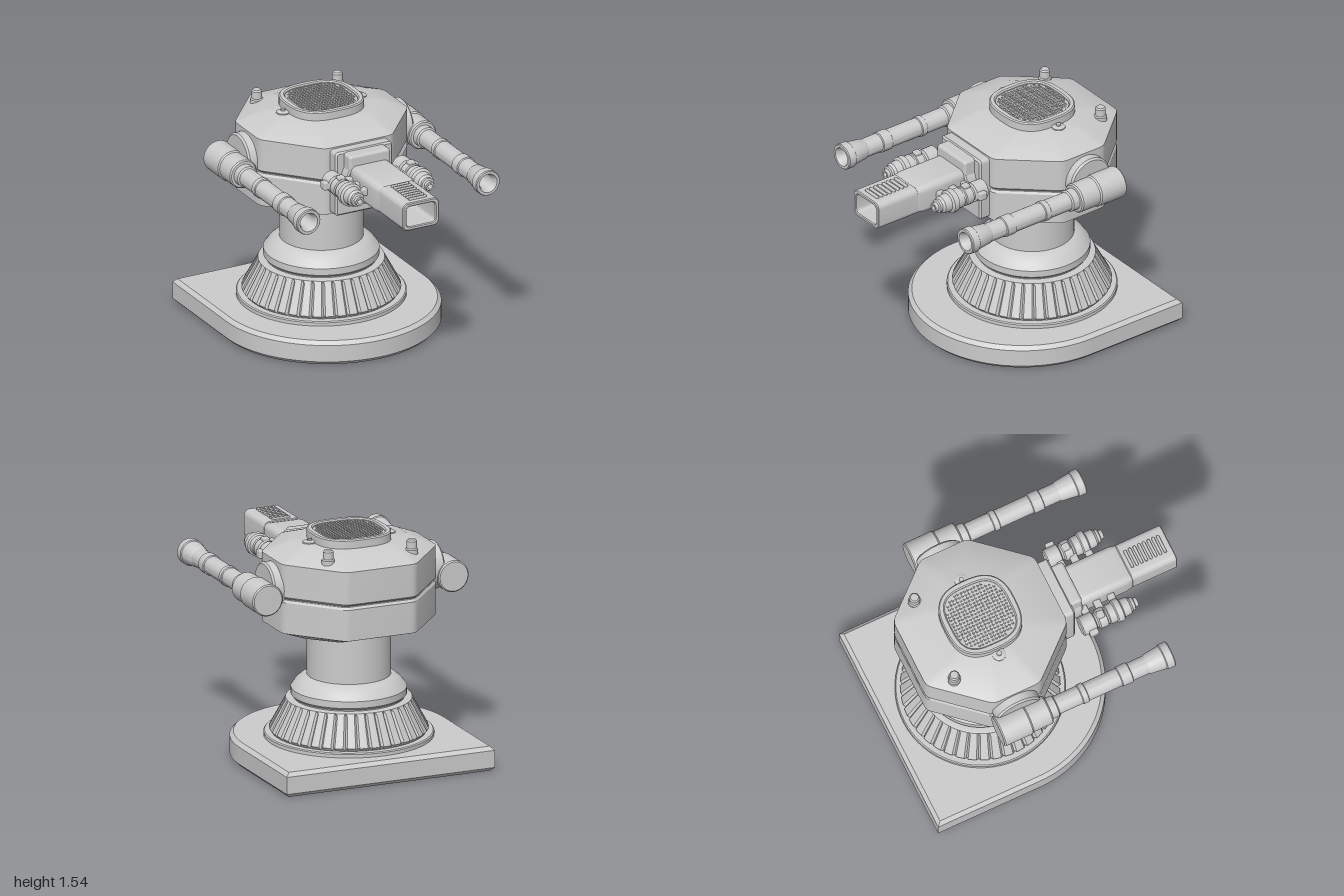
import * as THREE from 'three';
import { mergeGeometries, toCreasedNormals } from 'three/addons/utils/BufferGeometryUtils.js';
import { RoundedBoxGeometry } from 'three/addons/geometries/RoundedBoxGeometry.js';

const AXIS = -0.345; // z of the turret's turning axis
const material = new THREE.MeshStandardMaterial({ color: 0xcccccc });

function add(parent, name, geometry, x = 0, y = 0, z = 0) {
  const mesh = new THREE.Mesh(geometry, material);
  mesh.name = name;
  mesh.position.set(x, y, z);
  parent.add(mesh);
  return mesh;
}

// Turned part from [radius, height] pairs, listed bottom to top
function turned(profile, segments = 48) {
  const points = profile.map(([r, h]) => new THREE.Vector2(r, h));
  return toCreasedNormals(new THREE.LatheGeometry(points, segments), 0.5);
}
// The same, lying along +z
const turnedZ = (profile, segments) => turned(profile, segments).rotateX(Math.PI / 2);

function extruded(shape, depth, bevel = 0, thickness = bevel) {
  const geometry = new THREE.ExtrudeGeometry(shape, {
    depth: depth - 2 * thickness, bevelEnabled: bevel > 0, bevelSize: bevel,
    bevelOffset: -bevel, bevelThickness: thickness, bevelSegments: 1, curveSegments: 32,
  }).translate(0, 0, thickness);
  return toCreasedNormals(geometry, 0.4);
}

// Rectangle with rounded corners, half sizes w and h
function roundRect(w, h, r, Type = THREE.Shape) {
  const s = new Type();
  s.absarc(w - r, h - r, r, 0, Math.PI / 2);
  s.absarc(r - w, h - r, r, Math.PI / 2, Math.PI);
  s.absarc(r - w, r - h, r, Math.PI, Math.PI * 1.5);
  s.absarc(w - r, r - h, r, Math.PI * 1.5, Math.PI * 2);
  s.closePath();
  return s;
}

// Squircle outline between a circle and a square
function squircle(w, h, power) {
  return Array.from({ length: 64 }, (_, i) => {
    const a = (i / 64) * Math.PI * 2, c = Math.cos(a), s = Math.sin(a);
    return new THREE.Vector2(w * Math.sign(c) * Math.abs(c) ** (2 / power), h * Math.sign(s) * Math.abs(s) ** (2 / power));
  });
}

// Octagon ring with softened corners: half sizes hx, hz; flat half lengths fx (front), fz (side)
function octagon(y, hx, hz, fx, fz) {
  const c = [[hx, -fz], [hx, fz], [fx, hz], [-fx, hz], [-hx, fz], [-hx, -fz], [-fx, -hz], [fx, -hz]]
    .map(([x, z]) => new THREE.Vector3(x, y, z));
  return c.flatMap((p, i) => {
    const before = c[(i + 7) % 8].clone().sub(p).setLength(0.035).add(p);
    const after = c[(i + 1) % 8].clone().sub(p).setLength(0.035).add(p);
    return new THREE.QuadraticBezierCurve3(before, p, after).getPoints(3);
  });
}

// Skin over rings from bottom to top, with closed ends
function loft(rings) {
  const out = [], n = rings[0].length;
  const tri = (...points) => points.forEach((p) => out.push(p.x, p.y, p.z));
  const low = new THREE.Vector3(0, rings[0][0].y, 0);
  const high = new THREE.Vector3(0, rings.at(-1)[0].y, 0);
  for (let i = 0; i < n; i++) {
    const j = (i + 1) % n;
    for (let k = 0; k + 1 < rings.length; k++) {
      const a = rings[k], b = rings[k + 1];
      tri(a[i], b[i], a[j]);
      tri(a[j], b[i], b[j]);
    }
    tri(low, rings[0][i], rings[0][j]);
    tri(high, rings.at(-1)[j], rings.at(-1)[i]);
  }
  const geometry = new THREE.BufferGeometry();
  geometry.setAttribute('position', new THREE.Float32BufferAttribute(out, 3));
  return toCreasedNormals(geometry, 0.45);
}

function addPedestal(model) {
  // Base plate: round at the front, square at the back
  const plate = new THREE.Shape();
  plate.moveTo(-0.735, 1);
  plate.lineTo(-0.735, 0.265);
  plate.absarc(0, 0.265, 0.735, Math.PI, Math.PI * 2);
  plate.lineTo(0.735, 1);
  plate.closePath();
  add(model, 'basePlate', extruded(plate, 0.165, 0.025).rotateX(-Math.PI / 2));
  add(model, 'baseRing', turned([[0, 0.16], [0.55, 0.16], [0.55, 0.188], [0.543, 0.195], [0, 0.195]], 64), 0, 0, AXIS);

  // Skirt with narrow grooves cut into the slope
  const points = [[0.4, 0.19], [0.5, 0.195], [0.515, 0.215], [0.508, 0.23], [0.417, 0.4], [0.408, 0.418], [0.39, 0.422], [0.3, 0.422]];
  const skirt = new THREE.LatheGeometry(points.map((p) => new THREE.Vector2(...p)), 240);
  const pos = skirt.attributes.position;
  for (let i = 0; i < pos.count; i++) {
    const row = i % points.length, column = Math.floor(i / points.length);
    if (column % 6 === 0 && row > 1 && row < 5) {
      pos.setX(i, pos.getX(i) * 0.965);
      pos.setZ(i, pos.getZ(i) * 0.965);
    }
  }
  skirt.computeVertexNormals();
  add(model, 'groovedSkirt', toCreasedNormals(skirt, 0.35), 0, 0, AXIS);
  add(model, 'collar', turned([[0, 0.41], [0.358, 0.41], [0.36, 0.43], [0.375, 0.445], [0.375, 0.49], [0.345, 0.53], [0.315, 0.555], [0.275, 0.576], [0, 0.576]], 64), 0, 0, AXIS);
  add(model, 'pillar', new THREE.CylinderGeometry(0.272, 0.272, 0.34, 64), 0, 0.73, AXIS);
}

function addHead(model) {
  const full = (y, inset = 0) => octagon(y, 0.545 - inset, 0.505 - inset, 0.245, 0.165);
  const small = (y) => octagon(y, 0.38, 0.295, 0.195, 0.1);
  add(model, 'lowerHull', loft([small(0.88), full(0.95), full(1.158), full(1.174, 0.014)]), 0, 0, AXIS);
  add(model, 'hullSeam', loft([full(1.15, 0.025), full(1.21, 0.025)]), 0, 0, AXIS);
  add(model, 'upperHull', loft([full(1.182, 0.012), full(1.194), full(1.412), small(1.485)]), 0, 0, AXIS);

  // Roof hatch with a studded grille
  const rim = new THREE.Shape(squircle(0.257, 0.25, 2.7));
  rim.holes.push(new THREE.Path(squircle(0.213, 0.206, 3.2)));
  add(model, 'hatchRim', extruded(rim, 0.075, 0.008).rotateX(-Math.PI / 2), 0, 1.47, AXIS);
  const floor = new THREE.Shape(squircle(0.217, 0.21, 3.2));
  add(model, 'hatchFloor', extruded(floor, 0.06).rotateX(-Math.PI / 2), 0, 1.47, AXIS);
  const studs = [];
  for (let i = -8; i <= 8; i++) for (let j = -8; j <= 8; j++) {
    const x = i * 0.0235, z = j * 0.0235;
    if (Math.abs(x / 0.2) ** 3.2 + Math.abs(z / 0.195) ** 3.2 < 1)
      studs.push(new THREE.CylinderGeometry(0.005, 0.008, 0.008, 6).translate(x, 0.004, z));
  }
  add(model, 'hatchGrille', mergeGeometries(studs), 0, 1.53, AXIS);

  for (const s of [-1, 1]) {
    add(model, 'hatchLug', turned([[0, 0], [0.045, 0], [0.045, 0.012], [0.03, 0.02], [0.016, 0.02], [0.016, 0.03], [0, 0.03]], 20), s * 0.28, 1.48, AXIS);
    add(model, 'roofStud', turned([[0, 0], [0.042, 0], [0.042, 0.035], [0.034, 0.042], [0.034, 0.09], [0.026, 0.1], [0, 0.1]], 24), s * 0.295, 1.425, -0.673);
  }
}

function addMainGun(model) {
  const gun = new THREE.Group();
  gun.name = 'mainGun';
  gun.position.y = 1.225;
  model.add(gun);
  add(gun, 'frontPlate', extruded(roundRect(0.21, 0.222, 0.025), 0.16, 0.012), 0, -0.045, 0.075);
  add(gun, 'mantlet', turnedZ([[0, 0.2], [0.172, 0.2], [0.172, 0.305], [0.163, 0.315], [0, 0.315]], 48), 0, -0.015, 0);
  add(gun, 'mantletBlock', new RoundedBoxGeometry(0.3, 0.24, 0.12, 2, 0.02), 0, 0.05, 0.255);
  add(gun, 'barrel', extruded(roundRect(0.143, 0.1, 0.045), 0.42, 0.012, 0.05), 0, 0, 0.265);
  const muzzle = roundRect(0.133, 0.096, 0.04);
  muzzle.holes.push(roundRect(0.105, 0.07, 0.025, THREE.Path));
  add(gun, 'muzzle', extruded(muzzle, 0.325, 0.006), 0, 0, 0.675);
  for (let i = 0; i < 8; i++) for (const s of [-1, 1])
    add(gun, 'muzzleRib', new RoundedBoxGeometry(0.13, 0.03, 0.02, 1, 0.007), 0, s * 0.094, 0.715 + i * 0.0335);
  add(gun, 'barrelKeel', new RoundedBoxGeometry(0.14, 0.04, 0.32, 2, 0.012), 0, -0.098, 0.45);
}

// Small gun beside the main barrel
function addSmallGun(model, s) {
  const gun = new THREE.Group();
  gun.name = 'smallGun';
  gun.position.set(s * 0.257, 1.235, 0);
  model.add(gun);
  add(gun, 'smallBarrel', turnedZ([
    [0, 0.245], [0.055, 0.245], [0.065, 0.252], [0.065, 0.34], [0.05, 0.348], [0.05, 0.36], [0.066, 0.368],
    [0.066, 0.42], [0.058, 0.425], [0.058, 0.435], [0.066, 0.44], [0.066, 0.485], [0.078, 0.492], [0.078, 0.53],
    [0.062, 0.54], [0.058, 0.59], [0.045, 0.605], [0.045, 0.622], [0.032, 0.628], [0.03, 0.65], [0.017, 0.65], [0.015, 0.61], [0, 0.61],
  ], 28));
  add(gun, 'sideLug', new RoundedBoxGeometry(0.04, 0.055, 0.06, 1, 0.01), s * 0.072, 0, 0.31);
  add(gun, 'topLug', new RoundedBoxGeometry(0.05, 0.04, 0.05, 1, 0.01), 0, 0.062, 0.39);
  for (const z of [0.32, 0.415, 0.515])
    add(gun, 'bracket', new RoundedBoxGeometry(0.09, 0.05, 0.05, 1, 0.01), -s * 0.085, 0, z);
}

// Long gun on the side of the hull
function addSideGun(model, s) {
  const gun = new THREE.Group();
  gun.name = 'sideGun';
  gun.position.set(s * 0.657, 1.19, 0);
  model.add(gun);
  add(gun, 'sideBarrel', turnedZ([
    [0, -0.535], [0.098, -0.535], [0.106, -0.527], [0.106, -0.335], [0.098, -0.325], [0.098, -0.19], [0.09, -0.18],
    [0.073, -0.178], [0.073, -0.13], [0.062, -0.122], [0.062, 0.045], [0.068, 0.05], [0.068, 0.085], [0.062, 0.09],
    [0.062, 0.325], [0.069, 0.33], [0.069, 0.4], [0.062, 0.405], [0.062, 0.52], [0.068, 0.53], [0.08, 0.635],
    [0.087, 0.64], [0.087, 0.69], [0.082, 0.697], [0.064, 0.697], [0.048, 0.66], [0.045, 0.5], [0, 0.5],
  ]));
  const pivot = turned([[0, -0.04], [0.158, -0.04], [0.158, 0.098], [0.146, 0.11], [0, 0.11]]);
  add(model, 'gunPivot', pivot, s * 0.497, 1.235, -0.36).rotation.z = -s * Math.PI / 2;
}

export function createModel() {
  const model = new THREE.Group();
  model.name = 'gunTurret';
  addPedestal(model);
  addHead(model);
  addMainGun(model);
  for (const s of [-1, 1]) {
    addSmallGun(model, s);
    addSideGun(model, s);
  }
  return model;
}
